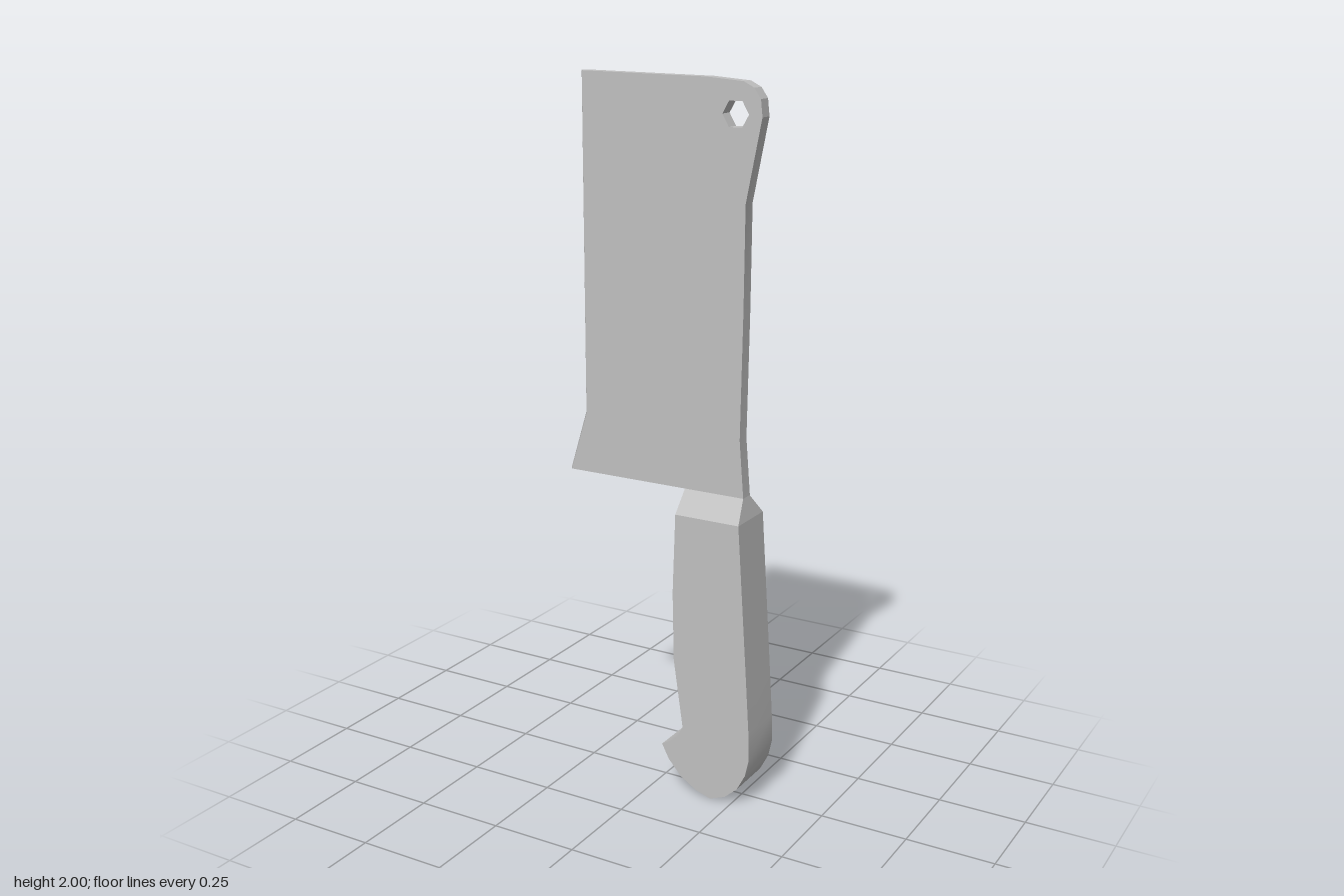
import * as THREE from 'three';
import { toCreasedNormals } from 'three/addons/utils/BufferGeometryUtils.js';

const polygon = (points) => new THREE.Shape(points.map(([x, y]) => new THREE.Vector2(x, y)));

export function createModel() {
  const group = new THREE.Group();
  const steel = new THREE.MeshStandardMaterial({ color: 0xc0c0c0 });
  steel.name = 'plain grey';

  const add = (name, geometry) => {
    const mesh = new THREE.Mesh(geometry, steel);
    mesh.name = name;
    group.add(mesh);
  };

  // Blade: flat slab with a hanging hole, its left edge drawn out to a ridge
  const bladeShape = polygon([
    [-0.3, 0.89], [0.25, 0.89], [0.237, 1.05], [0.243, 1.4], [0.245, 1.68],
    [0.289, 1.9], [0.284, 1.945], [0.265, 1.972], [0.235, 1.987], [0.13, 1.995],
    [-0.248, 2], [-0.248, 1.06],
  ]);
  const hole = new THREE.Path();
  for (let i = 0; i < 6; i++) {
    const a = -i * Math.PI / 3;
    const x = 0.213 + 0.038 * Math.cos(a), y = 1.905 + 0.038 * Math.sin(a);
    if (i === 0) hole.moveTo(x, y);
    else hole.lineTo(x, y);
  }
  hole.closePath();
  bladeShape.holes.push(hole);
  const thickness = 0.039;
  const blade = new THREE.ExtrudeGeometry(bladeShape, { depth: thickness, steps: 2, bevelEnabled: false });
  const p = blade.attributes.position;
  for (let i = 0; i < p.count; i++) {
    const middle = Math.abs(p.getZ(i) - thickness / 2) < 0.001;
    if (middle && p.getX(i) < -0.24) p.setX(i, p.getX(i) - 0.013);
  }
  blade.translate(0, 0, -0.021);
  add('blade', toCreasedNormals(blade, 0.3));

  // Grip: thick outline with a finger hook and rounded butt
  const gripShape = polygon([
    [0.07, 0.83], [0.062, 0.6], [0.066, 0.4], [0.095, 0.2], [0.073, 0.158],
    [0.028, 0.132], [0.05, 0.09], [0.09, 0.045], [0.14, 0.014], [0.185, 0],
    [0.232, 0.018], [0.27, 0.052], [0.295, 0.1], [0.306, 0.15], [0.304, 0.23],
    [0.293, 0.4], [0.264, 0.83],
  ]);
  const grip = new THREE.ExtrudeGeometry(gripShape, { depth: 0.144, bevelEnabled: false });
  grip.translate(0, 0, -0.073);
  add('grip', toCreasedNormals(grip, 0.6));

  // Shoulder: tapers the grip up to the thickness of the blade
  const shoulder = new THREE.BoxGeometry(1, 0.06, 1);
  const s = shoulder.attributes.position;
  for (let i = 0; i < s.count; i++) {
    const top = s.getY(i) > 0, right = s.getX(i) > 0;
    s.setX(i, right ? (top ? 0.25 : 0.264) : 0.07);
    s.setZ(i, s.getZ(i) * (top ? 0.038 : 0.144) - 0.001);
    s.setY(i, top ? 0.89 : 0.83);
  }
  add('shoulder', toCreasedNormals(shoulder, 0.3));

  return group;
}
